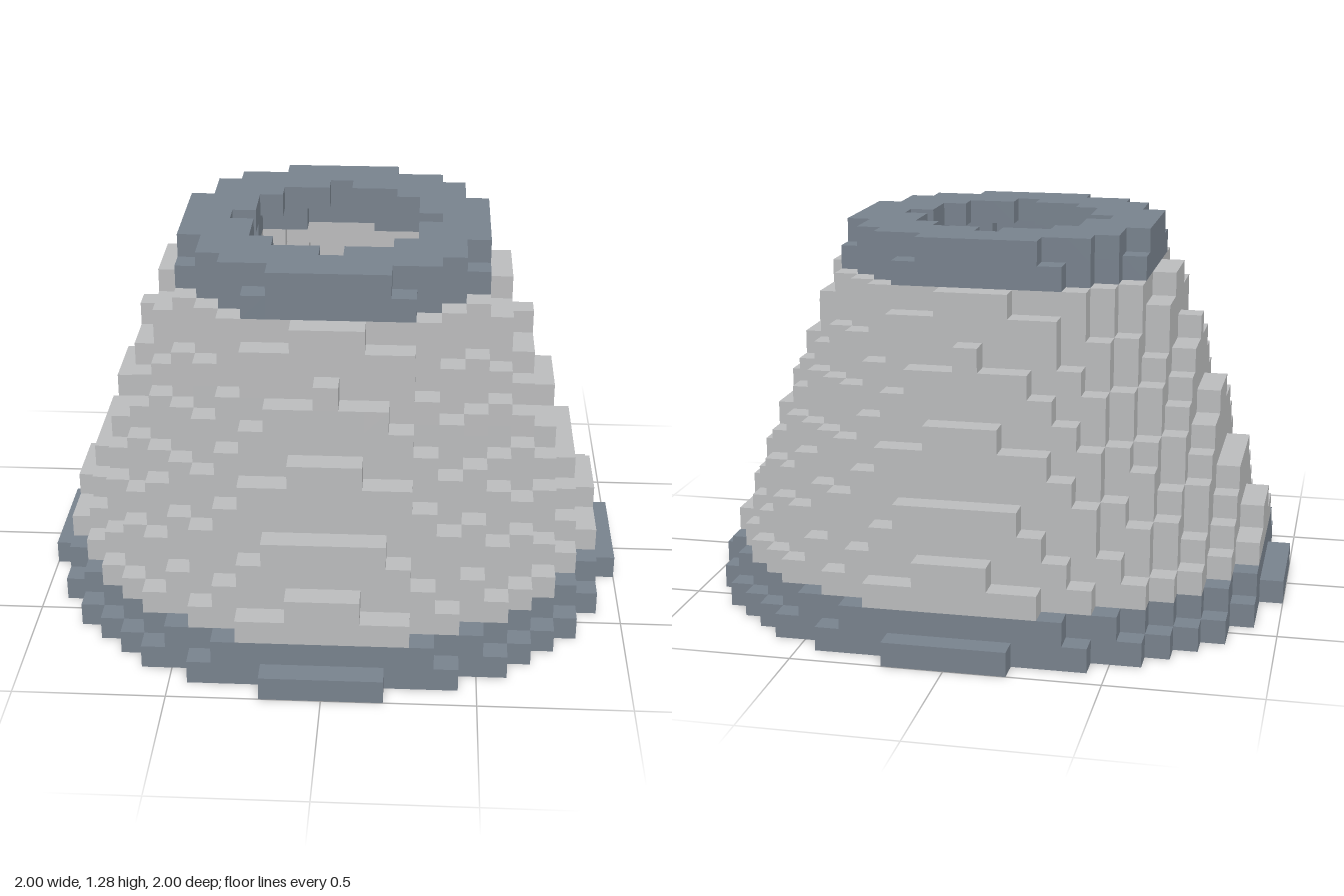
import * as THREE from 'three';

const CELL = 0.08;
const LAYERS = 16;
const HALF = 12;
const WALL = 2.5;

// Tapering hollow cone: outer radius of every layer, in cells
const outer = (k) => THREE.MathUtils.lerp(12.25, 6.5, k / (LAYERS - 1));

function solid(x, k, z) {
  if (k < 0 || k >= LAYERS) return false;
  const d = Math.hypot(x, z);
  return d <= outer(k) && d > outer(k) - WALL;
}

// Outward normal and two in-plane axes (u x v = n) for the six cube sides
const SIDES = [
  [[1, 0, 0], [0, 1, 0], [0, 0, 1]],
  [[-1, 0, 0], [0, 0, 1], [0, 1, 0]],
  [[0, 1, 0], [0, 0, 1], [1, 0, 0]],
  [[0, -1, 0], [1, 0, 0], [0, 0, 1]],
  [[0, 0, 1], [1, 0, 0], [0, 1, 0]],
  [[0, 0, -1], [0, 1, 0], [1, 0, 0]],
];
const CORNERS = [[-1, -1], [1, -1], [1, 1], [-1, 1]];

// Exposed cube faces of the layers from..to-1
function band(name, from, to, material) {
  const pos = [], nor = [], idx = [];
  for (let k = from; k < to; k++) {
    for (let x = -HALF; x <= HALF; x++) {
      for (let z = -HALF; z <= HALF; z++) {
        if (!solid(x, k, z)) continue;
        const c = [x, k + 0.5, z];
        for (const [n, u, v] of SIDES) {
          if (solid(x + n[0], k + n[1], z + n[2])) continue;
          const s = pos.length / 3;
          for (const [a, b] of CORNERS) {
            for (let i = 0; i < 3; i++) {
              pos.push((c[i] + 0.5 * (n[i] + a * u[i] + b * v[i])) * CELL);
            }
            nor.push(...n);
          }
          idx.push(s, s + 1, s + 2, s, s + 2, s + 3);
        }
      }
    }
  }
  const geo = new THREE.BufferGeometry();
  geo.setAttribute('position', new THREE.Float32BufferAttribute(pos, 3));
  geo.setAttribute('normal', new THREE.Float32BufferAttribute(nor, 3));
  geo.setIndex(idx);
  const mesh = new THREE.Mesh(geo, material);
  mesh.name = name;
  return mesh;
}

export function createModel() {
  const slate = new THREE.MeshStandardMaterial({ color: 0x78828d });
  slate.name = 'slate';
  const stone = new THREE.MeshStandardMaterial({ color: 0xbbbcbd });
  stone.name = 'stone grey';

  const model = new THREE.Group();
  model.name = 'hollowCone';
  model.add(
    band('baseRing', 0, 2, slate),
    band('coneWall', 2, 14, stone),
    band('topRim', 14, LAYERS, slate),
  );
  return model;
}
